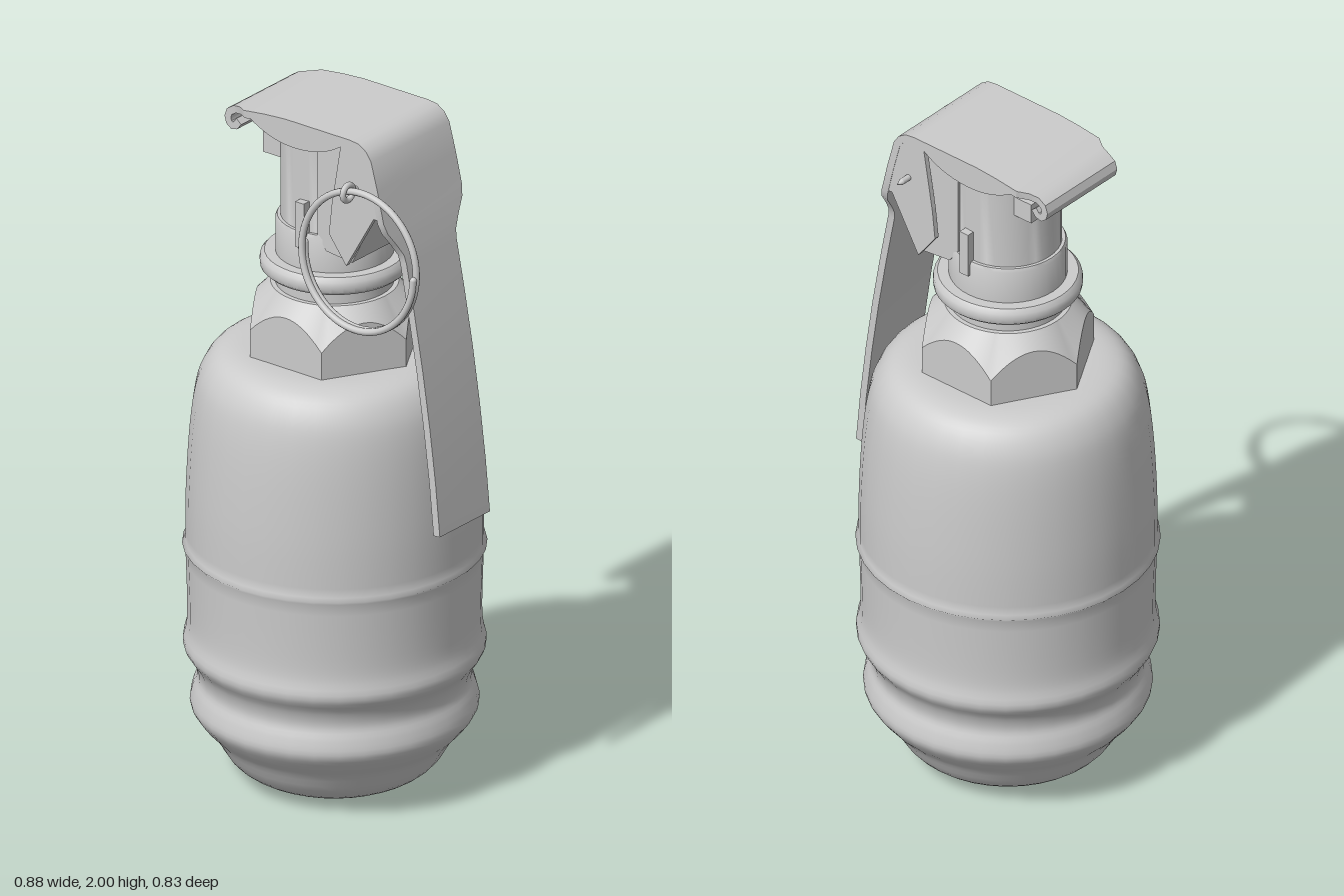
import * as THREE from 'three';
import { toCreasedNormals } from 'three/addons/utils/BufferGeometryUtils.js';

const AXIS = -0.025; // x of the body's axis
const mat = new THREE.MeshStandardMaterial({ color: 0xcccccc, side: THREE.DoubleSide });

function add(group, name, geo, x = 0, y = 0, z = 0) {
  const mesh = new THREE.Mesh(geo, mat);
  mesh.name = name;
  mesh.position.set(x, y, z);
  group.add(mesh);
  return mesh;
}

const v2 = (list) => list.map(([x, y]) => new THREE.Vector2(x, y));

// Joins closed rings of points (all the same length) into a creased surface, capped at both ends
function loft(rings, crease) {
  const n = rings[0].length;
  const pos = rings.flat(2);
  const index = [];
  for (let i = 0; i < rings.length - 1; i++) {
    for (let j = 0; j < n; j++) {
      const a = i * n + j, b = i * n + (j + 1) % n;
      index.push(a, a + n, b, b, a + n, b + n);
    }
  }
  const last = (rings.length - 1) * n;
  for (let j = 1; j < n - 1; j++) {
    index.push(0, j, j + 1, last, last + j + 1, last + j);
  }
  const geo = new THREE.BufferGeometry();
  geo.setAttribute('position', new THREE.Float32BufferAttribute(pos, 3));
  geo.setIndex(index);
  return toCreasedNormals(geo, crease);
}

// Hexagonal nut whose upper corners are cut by a cone
function nutGeometry() {
  const n = 96, flat = 0.215, y0 = 1.27;
  const ring = (radius, height) => Array.from({ length: n }, (_, j) => {
    const t = (j / n) * Math.PI * 2;
    const sector = Math.PI / 3;
    const hex = flat / Math.cos((t % sector) - sector / 2);
    const r = radius ?? hex;
    return [Math.cos(t) * r, height(hex), Math.sin(t) * r];
  });
  return loft([
    ring(null, () => y0),
    ring(null, (h) => 1.43 - (h - flat) * 2.1),
    ring(0.175, () => 1.47),
  ], 0.45);
}

// Bent strip: stations of [x, y, half width], with a thickness below the outer line
function stripGeometry(stations, thick) {
  const rings = stations.map(([x, y, w], i) => {
    const p = stations[Math.max(i - 1, 0)], q = stations[Math.min(i + 1, stations.length - 1)];
    const len = Math.hypot(q[0] - p[0], q[1] - p[1]);
    const ix = x + ((q[1] - p[1]) / len) * thick, iy = y - ((q[0] - p[0]) / len) * thick;
    return [[x, y, w], [x, y, -w], [ix, iy, -w], [ix, iy, w]];
  });
  return loft(rings, 0.6);
}

export function createModel() {
  const model = new THREE.Group();
  model.name = 'grenade';

  // Rounded canister with two bulging bands near the foot
  const outline = new THREE.SplineCurve(v2([
    [0.15, 0.005], [0.22, 0.018], [0.285, 0.06], [0.33, 0.13], [0.365, 0.17], [0.394, 0.215],
    [0.388, 0.26], [0.375, 0.3], [0.385, 0.345], [0.414, 0.395], [0.404, 0.45], [0.402, 0.52], [0.407, 0.68],
  ])).getPoints(44);
  const upper = new THREE.SplineCurve(v2([
    [0.407, 0.70], [0.406, 0.85], [0.397, 1.02], [0.383, 1.14], [0.362, 1.21], [0.325, 1.258], [0.27, 1.278], [0.19, 1.28],
  ])).getPoints(28);
  add(model, 'body', new THREE.LatheGeometry(
    [new THREE.Vector2(0, 0), ...outline, new THREE.Vector2(0.416, 0.69), ...upper, new THREE.Vector2(0, 1.28)], 36), AXIS);

  add(model, 'nut', nutGeometry(), AXIS);

  // Neck with its collar, and the round fuze head above
  add(model, 'neck', toCreasedNormals(new THREE.LatheGeometry(v2([
    [0, 1.45], [0.162, 1.45], [0.162, 1.51], [0.192, 1.51], [0.203, 1.52], [0.205, 1.535], [0.203, 1.55], [0.192, 1.562],
    [0.162, 1.562], [0.162, 1.66], [0.157, 1.67], [0.148, 1.67], [0.148, 1.965], [0, 1.965],
  ]), 40), 0.7), AXIS);

  add(model, 'headLip', new THREE.BoxGeometry(0.11, 0.06, 0.2), -0.14, 1.87, 0);
  add(model, 'headRib', new THREE.BoxGeometry(0.03, 0.135, 0.34), -0.013, 1.695, 0);

  // Wedge-shaped block behind the lever
  const wedge = new THREE.Shape(v2([[0.03, 1.96], [0.03, 1.67], [0.06, 1.63], [0.15, 1.62], [0.235, 1.79], [0.2, 1.96]]));
  add(model, 'headBlock', new THREE.ExtrudeGeometry(wedge, { depth: 0.29, bevelEnabled: false }), 0, 0, -0.145);

  // Safety lever: curled front end, flat top, long bowed handle
  const lever = new THREE.Group();
  lever.name = 'lever';
  model.add(lever);
  add(lever, 'leverStrip', stripGeometry([
    [-0.235, 1.925, 0.145], [-0.25, 1.907, 0.145], [-0.27, 1.903, 0.145], [-0.287, 1.915, 0.145], [-0.293, 1.937, 0.145],
    [-0.285, 1.96, 0.145], [-0.262, 1.975, 0.145], [-0.235, 1.981, 0.152], [-0.205, 1.986, 0.172],
    [-0.13, 1.995, 0.172], [-0.06, 2, 0.172], [0.165, 2, 0.172], [0.195, 1.996, 0.172], [0.22, 1.98, 0.172],
    [0.237, 1.955, 0.172], [0.26, 1.87, 0.172], [0.281, 1.78, 0.172], [0.289, 1.75, 0.163], [0.298, 1.71, 0.135],
    [0.306, 1.675, 0.114], [0.311, 1.65, 0.11], [0.34, 1.5, 0.11], [0.368, 1.34, 0.11], [0.392, 1.18, 0.11],
    [0.412, 1.02, 0.11], [0.427, 0.865, 0.11],
  ], 0.022), 0, 0, 0);

  // Turned-down cheeks on both sides of the lever
  const cheek = new THREE.Shape();
  cheek.moveTo(-0.205, 1.982);
  cheek.quadraticCurveTo(-0.13, 1.925, -0.04, 1.922);
  cheek.quadraticCurveTo(0.06, 1.92, 0.13, 1.97);
  for (const [x, y] of [[0.1, 1.79], [0.09, 1.7], [0.15, 1.62], [0.245, 1.785], [0.279, 1.785], [0.235, 1.955], [0.218, 1.98], [0.195, 1.994], [0.165, 1.998], [-0.06, 1.998]]) {
    cheek.lineTo(x, y);
  }
  for (const z of [-0.171, 0.156]) {
    add(lever, 'leverCheek', new THREE.ExtrudeGeometry(cheek, { depth: 0.015, bevelEnabled: false }), 0, 0, z);
  }

  // Safety pin with pointed tail and an eye for the ring
  const pin = add(model, 'pin', new THREE.CylinderGeometry(0.009, 0.009, 0.39, 12), 0.185, 1.86, -0.005);
  pin.rotation.x = Math.PI / 2;
  const tip = add(model, 'pinTip', new THREE.ConeGeometry(0.009, 0.02, 12), 0.185, 1.86, -0.21);
  tip.rotation.x = -Math.PI / 2;
  const eye = add(model, 'pinEye', new THREE.TorusGeometry(0.022, 0.009, 10, 24), 0.185, 1.862, 0.208);
  eye.rotation.y = Math.PI / 2;

  // Split pull ring: one and a half turns of wire
  const coil = [];
  for (let i = 0; i <= 48; i++) {
    const t = i / 48, a = Math.PI * (1 + 3 * t);
    coil.push(new THREE.Vector3(0.231 + 0.196 * Math.cos(a), 1.673 + 0.198 * Math.sin(a),
      0.207 + 0.02 * t - 0.012 * Math.sin(a)));
  }
  const wire = new THREE.CatmullRomCurve3(coil);
  add(model, 'pullRing', new THREE.TubeGeometry(wire, 120, 0.01, 10));
  for (const end of [coil[0], coil[48]]) {
    add(model, 'pullRingEnd', new THREE.SphereGeometry(0.01, 10, 8), end.x, end.y, end.z);
  }

  return model;
}
